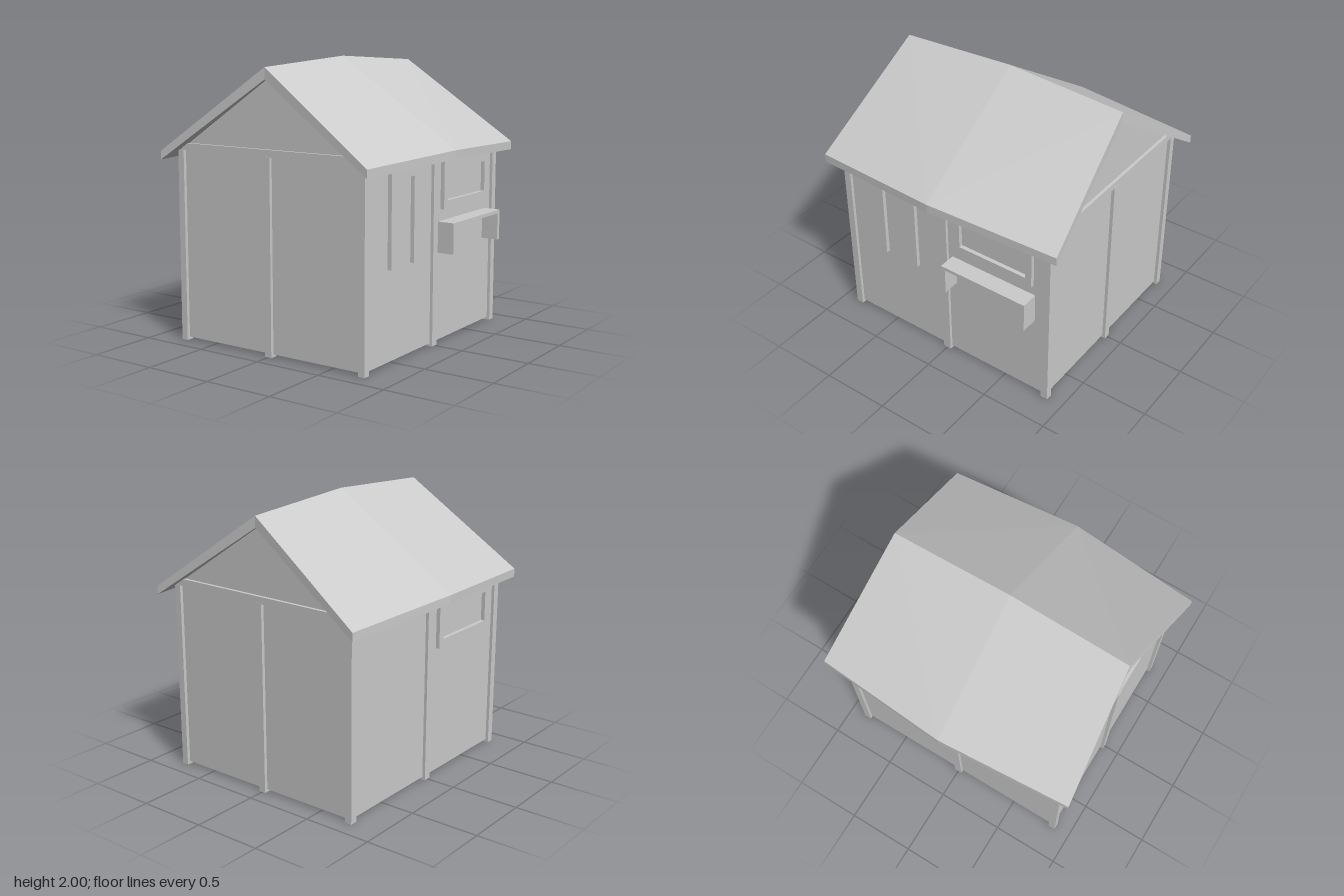
import * as THREE from 'three';

const material = new THREE.MeshStandardMaterial({ color: 0xcccccc, flatShading: true, side: THREE.DoubleSide });

export function createModel() {
  const house = new THREE.Group();
  house.name = 'playhouse';

  const add = (name, geometry) => {
    const mesh = new THREE.Mesh(geometry, material);
    mesh.name = name;
    house.add(mesh);
    return mesh;
  };
  // Box given by its minimum and maximum corners
  const box = (name, x0, x1, y0, y1, z0, z1) =>
    add(name, new THREE.BoxGeometry(x1 - x0, y1 - y0, z1 - z0)
      .translate((x0 + x1) / 2, (y0 + y1) / 2, (z0 + z1) / 2));
  // Outline in (-z, y), extruded along x from x0 to x1
  const sidePanel = (name, points, x0, x1, hole) => {
    const shape = new THREE.Shape(points.map(p => new THREE.Vector2(...p)));
    if (hole) shape.holes.push(new THREE.Path(hole.map(p => new THREE.Vector2(...p))));
    const geometry = new THREE.ExtrudeGeometry(shape, { depth: x1 - x0, bevelEnabled: false });
    return add(name, geometry.rotateY(Math.PI / 2).translate(x0, 0, 0));
  };
  const rect = (u0, u1, y0, y1) => [[u0, y0], [u1, y0], [u1, y1], [u0, y1]];
  // Upside-down U: two legs and a top bar
  const arch = (u0, u1, y0, y1, leg, bar) => [
    [u0, y0], [u0 + leg, y0], [u0 + leg, y1 - bar], [u1 - leg, y1 - bar],
    [u1 - leg, y0], [u1, y0], [u1, y1], [u0, y1],
  ];

  const W = 0.78, D = 0.88, P = 0.05;   // half width, half depth, post size
  const wx = W - P / 2, wz = D - P / 2; // wall planes run through the post centres
  const t = 0.003;                      // half wall thickness

  for (const s of [-1, 1]) {
    // Side walls
    box('sideWall', s * wx - t, s * wx + t, 0.02, 1.39, -wz, wz);
    // End walls, including the gable
    const gable = new THREE.Shape([[-wx, 0.02], [wx, 0.02], [wx, 1.38], [0, 1.9], [-wx, 1.38]]
      .map(p => new THREE.Vector2(...p)));
    add('gableWall', new THREE.ExtrudeGeometry(gable, { depth: 2 * t, bevelEnabled: false })
      .translate(0, 0, s * wz - t));
    // Cross beam under the gable
    box('gableBeam', -0.75, 0.75, 1.36, 1.41, s * wz - P / 2, s * wz + P / 2);
  }

  // Posts: four corners and the middle of each wall
  for (const i of [-1, 0, 1]) for (const k of [-1, 0, 1]) {
    if (!i && !k) continue;
    const hx = i ? P / 2 : 0.027, hz = k ? 0.027 : 0.03;
    box(i && k ? 'cornerPost' : 'middlePost', i * wx - hx, i * wx + hx, 0, k ? 1.365 : 1.41,
      k * wz - hz, k * wz + hz);
  }

  // Window frames: rear of the left wall, front of the right wall
  sidePanel('leftWindowFrame', rect(0.1, 0.74, 0.95, 1.29), 0.73, 0.787, rect(0.15, 0.69, 1.01, 1.23));
  sidePanel('rightWindowFrame', rect(-0.74, -0.1, 0.95, 1.29), -0.787, -0.73, rect(-0.69, -0.15, 1.01, 1.23));
  // Narrow door trim and serving shelf
  sidePanel('doorFrame', arch(-0.58, -0.24, 0.645, 1.29, 0.058, 0.055), 0.73, 0.787);
  sidePanel('servingShelf', arch(0.063, 0.753, 0.65, 0.87, 0.032, 0.025), wx, 0.885);

  // Roof: one chevron cross-section at each end and a larger one in the middle
  const section = (ridgeY, ridgeZ, eaveX, eaveY, eaveZ) => [
    [-eaveX, eaveY, eaveZ], [0, ridgeY, ridgeZ], [eaveX, eaveY, eaveZ],
    [eaveX, eaveY - 0.06, eaveZ], [0, ridgeY - 0.08, ridgeZ], [-eaveX, eaveY - 0.06, eaveZ],
  ];
  const rings = [
    section(1.95, -0.89, 0.857, 1.355, -0.975),
    section(2.0, 0, 0.93, 1.385, 0),
    section(1.95, 0.89, 0.857, 1.355, 0.975),
  ];
  const index = [];
  const quad = (a, b, c, d) => index.push(a, b, c, a, c, d);
  for (let r = 0; r < 2; r++) for (let j = 0; j < 6; j++) {
    const n = (j + 1) % 6, a = r * 6 + j, b = r * 6 + n, c = a + 6, d = b + 6;
    // Fold each slope from the end ridge to the middle eave
    const ridgeAtN = j === 0 || j === 3;
    if ((r === 0) === ridgeAtN) quad(b, a, c, d);
    else quad(a, c, d, b);
  }
  // End caps
  quad(0, 1, 4, 5); quad(1, 2, 3, 4);
  quad(17, 16, 13, 12); quad(16, 15, 14, 13);
  const roof = new THREE.BufferGeometry();
  roof.setAttribute('position', new THREE.Float32BufferAttribute(rings.flat(2), 3));
  roof.setIndex(index);
  const flat = roof.toNonIndexed();
  flat.computeVertexNormals();
  add('roof', flat);

  return house;
}
